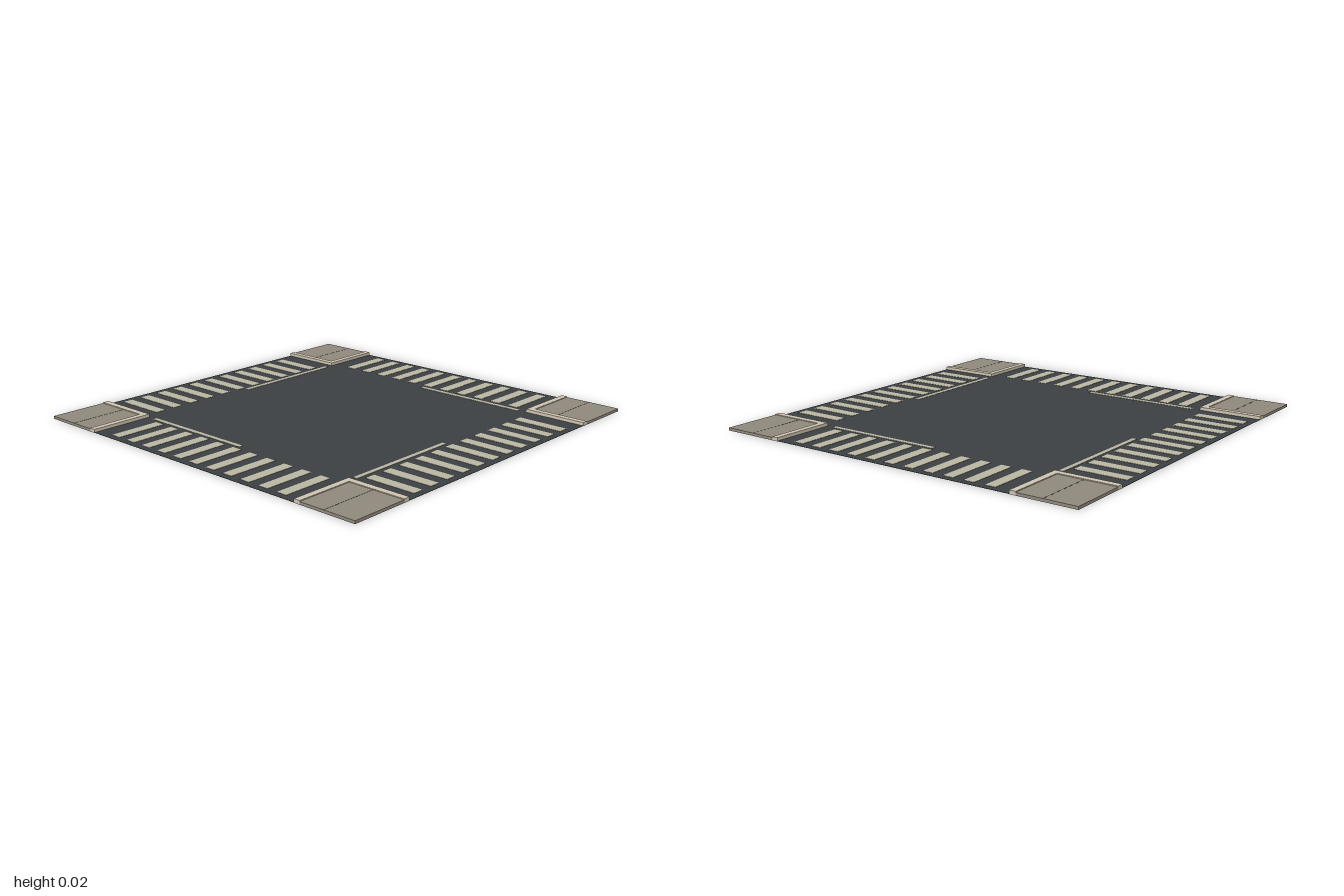
import * as THREE from 'three';

const material = (color) => new THREE.MeshStandardMaterial({ color });

export function createModel() {
  const model = new THREE.Group();
  const asphalt = material(0x3b3f42);
  const paint = material(0xbab6a2);
  const paving = material(0x8f897c);
  const kerbStone = material(0xcdc3b0);
  const jointDark = material(0x55524b);

  // Box given by its lower and upper corner
  function slab(parent, name, mat, [x0, y0, z0], [x1, y1, z1]) {
    const mesh = new THREE.Mesh(new THREE.BoxGeometry(x1 - x0, y1 - y0, z1 - z0), mat);
    mesh.position.set((x0 + x1) / 2, (y0 + y1) / 2, (z0 + z1) / 2);
    mesh.name = name;
    parent.add(mesh);
  }

  // Road surface
  slab(model, 'road', asphalt, [-1, 0.001, -1], [1, 0.002, 1]);

  // Raised pavement corners edged by kerbs
  const inner = 0.667, edge = 0.7, kerbTop = 0.018, walkTop = 0.014;
  for (const sx of [-1, 1]) {
    for (const sz of [-1, 1]) {
      const corner = new THREE.Group();
      corner.name = 'pavementCorner';
      const part = (name, mat, xa, xb, za, zb, y0, y1) => slab(corner, name, mat,
        [Math.min(sx * xa, sx * xb), y0, Math.min(sz * za, sz * zb)],
        [Math.max(sx * xa, sx * xb), y1, Math.max(sz * za, sz * zb)]);
      part('pavement', paving, edge, 1, edge, 1, 0, walkTop);
      part('kerbAlongX', kerbStone, inner, 1, inner, edge, 0, kerbTop);
      part('kerbAlongZ', kerbStone, inner, edge, edge, 1, 0, kerbTop);
      part('pavingJoint', jointDark, edge, 1, 0.83, 0.834, walkTop - 0.002, walkTop + 0.0005);
      model.add(corner);
    }
  }

  // Crossing stripes on all four sides
  const y0 = 0.0015, y1 = 0.0035, half = 0.0275;
  const near = 0.7, far = 0.967;
  for (let i = 0; i < 11; i++) {
    const x = -0.567 + i * 0.111;
    const z = -0.547 + i * 0.111;
    slab(model, 'frontCrossingStripe', paint, [x - half, y0, near], [x + half, y1, far]);
    slab(model, 'backCrossingStripe', paint, [x - half, y0, -far], [x + half, y1, -near]);
    slab(model, 'leftCrossingStripe', paint, [near, y0, z - half], [far, y1, z + half]);
    slab(model, 'rightCrossingStripe', paint, [-far, y0, z - half], [-near, y1, z + half]);
  }

  // Stop lines, one per approach lane
  slab(model, 'frontStopLine', paint, [-0.623, y0, 0.653], [0, y1, 0.676]);
  slab(model, 'backStopLine', paint, [0, y0, -0.681], [0.623, y1, -0.658]);
  slab(model, 'leftStopLine', paint, [0.655, y0, 0], [0.678, y1, 0.623]);
  slab(model, 'rightStopLine', paint, [-0.68, y0, -0.623], [-0.657, y1, 0]);

  return model;
}
